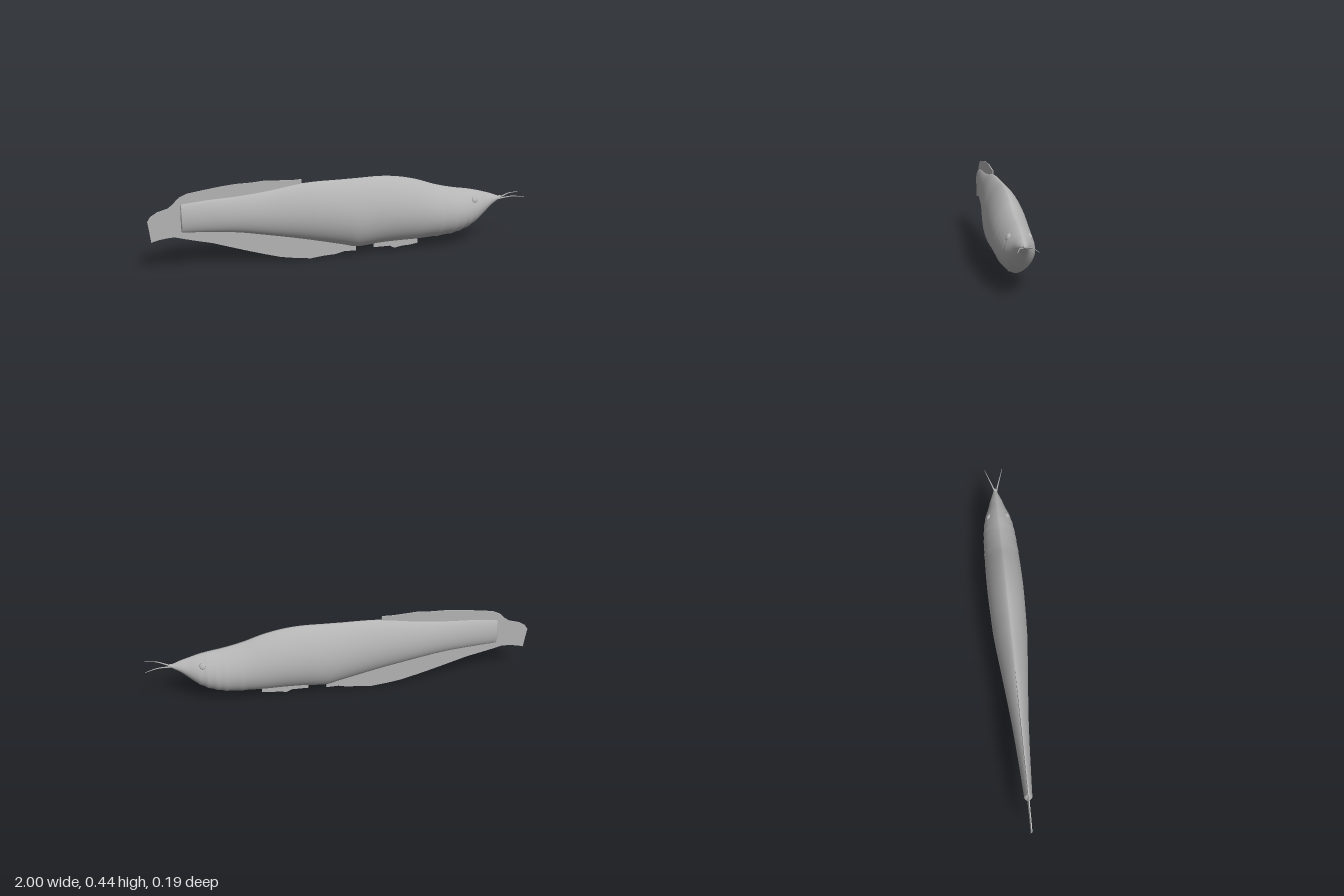
import * as THREE from 'three';

const grey = new THREE.MeshStandardMaterial({ color: 0xb4b4b4 });
grey.name = 'plain grey';

// Body stations: x, top y, bottom y, half width
const STATIONS = [
  [-0.83, 0.355, 0.205, 0.02], [-0.7, 0.366, 0.196, 0.027], [-0.55, 0.373, 0.18, 0.036],
  [-0.4, 0.387, 0.152, 0.047], [-0.2, 0.415, 0.11, 0.066], [0, 0.418, 0.062, 0.085],
  [0.08, 0.419, 0.043, 0.09], [0.2, 0.42, 0.052, 0.094], [0.3, 0.41, 0.055, 0.096],
  [0.4, 0.387, 0.055, 0.095], [0.5, 0.352, 0.06, 0.092], [0.6, 0.327, 0.069, 0.087],
  [0.68, 0.313, 0.094, 0.078], [0.74, 0.299, 0.13, 0.062], [0.78, 0.287, 0.165, 0.045],
  [0.82, 0.274, 0.204, 0.03], [0.86, 0.258, 0.232, 0.013], [0.88, 0.25, 0.245, 0.004],
];
// Gill folds: x, height
const FOLDS = [[0.52, 0.02], [0.6, 0.02], [0.645, 0.025], [0.69, 0.03], [0.73, 0.03]];
const MID_Z = -0.003;

function add(group, geometry, name) {
  const mesh = new THREE.Mesh(geometry, grey);
  mesh.name = name;
  group.add(mesh);
  return mesh;
}

// Lens-shaped ring of points across the body
function ring(x, top, bottom, halfWidth, count) {
  const mid = (top + bottom) / 2, half = (top - bottom) / 2, points = [];
  for (let j = 0; j < count; j++) {
    const a = (j / count) * Math.PI * 2;
    const c = Math.cos(a), s = Math.sin(a);
    const belly = -0.07 * half * c * c;
    points.push(x, mid + half * s + belly, MID_Z + Math.sign(c) * halfWidth * Math.pow(Math.abs(c), 1.4));
  }
  return points;
}

function bodyGeometry() {
  const rows = 160, count = 48, positions = [], index = [];
  const upper = new THREE.CatmullRomCurve3(
    STATIONS.map(([x, t, , w]) => new THREE.Vector3(x, t, w)), false, 'catmullrom', 0.5);
  const lower = new THREE.CatmullRomCurve3(
    STATIONS.map(([x, , b]) => new THREE.Vector3(x, b, 0)), false, 'catmullrom', 0.5);
  for (let i = 0; i <= rows; i++) {
    const u = upper.getPoint(i / rows), l = lower.getPoint(i / rows);
    let fold = 0;
    for (const [x, h] of FOLDS) fold += h * Math.exp(-(((u.x - x) / 0.012) ** 2));
    const drop = fold * (u.y - l.y) * 0.6;
    positions.push(...ring(u.x, u.y, l.y - drop, u.z * (1 + fold), count));
  }
  for (let i = 0; i < rows; i++) {
    for (let j = 0; j < count; j++) {
      const k = (j + 1) % count, a = i * count, b = a + count;
      index.push(a + j, b + j, b + k, a + j, b + k, a + k);
    }
  }
  const geometry = new THREE.BufferGeometry();
  geometry.setAttribute('position', new THREE.Float32BufferAttribute(positions, 3));
  geometry.setIndex(index);
  geometry.computeVertexNormals();
  return geometry;
}

// Slightly bulging cap that closes the tail end of the body
function tailCapGeometry() {
  const count = 48, index = [];
  const [x, top, bottom, w] = STATIONS[0];
  const positions = [
    ...ring(x, top, bottom, w, count),
    ...ring(x - 0.004, top - 0.005, bottom + 0.005, w * 0.8, count),
    x - 0.005, (top + bottom) / 2, MID_Z,
  ];
  for (let j = 0; j < count; j++) {
    const k = (j + 1) % count;
    index.push(count + j, j, k, count + j, k, count + k, 2 * count, count + j, count + k);
  }
  const geometry = new THREE.BufferGeometry();
  geometry.setAttribute('position', new THREE.Float32BufferAttribute(positions, 3));
  geometry.setIndex(index);
  geometry.computeVertexNormals();
  return geometry;
}

// Thin upright fin from an outline in x and y
function finGeometry(outline) {
  const shape = new THREE.Shape(outline.map(([x, y]) => new THREE.Vector2(x, y)));
  const geometry = new THREE.ExtrudeGeometry(shape, { depth: 0.005, bevelEnabled: false });
  geometry.translate(0, 0, -0.0065);
  return geometry;
}

// Tapering whisker along a curve
function whiskerGeometry(side) {
  const curve = new THREE.CatmullRomCurve3([
    new THREE.Vector3(0.85, 0.237, 0), new THREE.Vector3(0.89, 0.247, 0.011 * side),
    new THREE.Vector3(0.94, 0.257, 0.029 * side), new THREE.Vector3(1, 0.252, 0.048 * side),
  ]);
  const steps = 20, sides = 8;
  const geometry = new THREE.TubeGeometry(curve, steps, 0.0045, sides);
  const p = geometry.attributes.position;
  for (let i = 0; i <= steps; i++) {
    const c = curve.getPointAt(i / steps), k = 1 - 0.75 * (i / steps);
    for (let j = 0; j <= sides; j++) {
      const n = i * (sides + 1) + j;
      p.setXYZ(n, c.x + (p.getX(n) - c.x) * k, c.y + (p.getY(n) - c.y) * k, c.z + (p.getZ(n) - c.z) * k);
    }
  }
  return geometry;
}

export function createModel() {
  const model = new THREE.Group();
  model.name = 'fish';

  add(model, bodyGeometry(), 'body');
  add(model, tailCapGeometry(), 'tailCap');

  // Fins
  add(model, finGeometry([
    [-0.215, 0.4], [-0.215, 0.436], [-0.26, 0.434], [-0.33, 0.438], [-0.4, 0.443], [-0.47, 0.438],
    [-0.55, 0.437], [-0.63, 0.43], [-0.72, 0.418], [-0.8, 0.406], [-0.84, 0.388], [-0.84, 0.34], [-0.6, 0.35],
  ]), 'dorsalFin');
  add(model, finGeometry([
    [-0.82, 0.397], [-0.85, 0.38], [-0.87, 0.357], [-0.895, 0.338], [-0.95, 0.322], [-0.985, 0.3],
    [-1, 0.276], [-0.993, 0.225], [-0.986, 0.166], [-0.95, 0.176], [-0.91, 0.182], [-0.87, 0.184], [-0.82, 0.17],
  ]), 'tailFin');
  add(model, finGeometry([
    [-0.82, 0.22], [-0.82, 0.17], [-0.75, 0.152], [-0.68, 0.135], [-0.6, 0.108], [-0.5, 0.075], [-0.42, 0.05],
    [-0.33, 0.024], [-0.25, 0.01], [-0.17, 0], [-0.1, 0.008], [-0.04, 0.01], [0.01, 0.022], [0.075, 0.02],
    [0.075, 0.06], [0, 0.08], [-0.2, 0.13], [-0.4, 0.17], [-0.6, 0.2],
  ]), 'analFin');
  add(model, finGeometry([
    [0.17, 0.07], [0.17, 0.028], [0.26, 0.028], [0.285, 0.014], [0.33, 0.022], [0.37, 0.023],
    [0.415, 0.03], [0.415, 0.07],
  ]), 'bellyFin');

  // Eyes and whiskers on both sides
  for (const side of [1, -1]) {
    const eye = add(model, new THREE.SphereGeometry(0.018, 20, 14), side > 0 ? 'rightEye' : 'leftEye');
    eye.scale.set(1, 1, 0.55);
    eye.position.set(0.712, 0.262, MID_Z + side * 0.05);
    eye.rotation.set(-side * 0.45, side * 0.3, 0);
    add(model, whiskerGeometry(side), side > 0 ? 'rightWhisker' : 'leftWhisker');
  }

  // Snout tip
  const snout = add(model, new THREE.SphereGeometry(0.008, 16, 10), 'snoutTip');
  snout.scale.set(1.6, 0.9, 0.9);
  snout.position.set(0.873, 0.25, MID_Z);
  return model;
}
